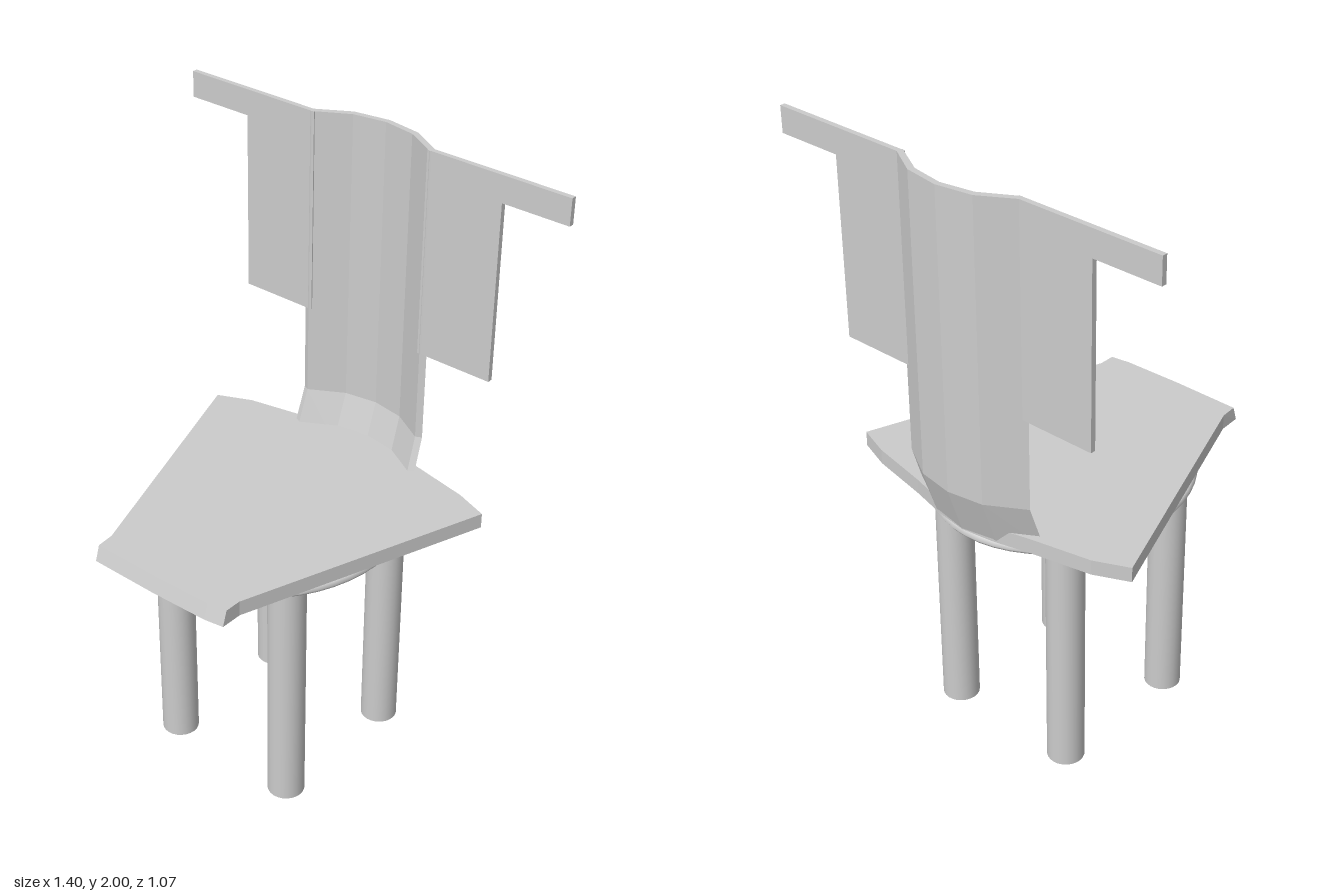
import * as THREE from 'three';

const grey = new THREE.MeshStandardMaterial({ color: 0xcccccc });

function add(group, name, geometry, x = 0, y = 0, z = 0) {
  const mesh = new THREE.Mesh(geometry, grey);
  mesh.name = name;
  mesh.position.set(x, y, z);
  group.add(mesh);
  return mesh;
}

// Extrudes a plan outline given as [x, z] upwards from y = 0
function extrudePlan(points, height, steps = 1) {
  const shape = new THREE.Shape(points.map(([x, z]) => new THREE.Vector2(x, -z)));
  return new THREE.ExtrudeGeometry(shape, { depth: height, steps, bevelEnabled: false }).rotateX(-Math.PI / 2);
}

// Moves every vertex by a rule, then refreshes the flat normals
function reshape(geometry, rule) {
  const pos = geometry.attributes.position;
  const v = new THREE.Vector3();
  for (let i = 0; i < pos.count; i++) {
    rule(v.fromBufferAttribute(pos, i));
    pos.setXYZ(i, v.x, v.y, v.z);
  }
  geometry.computeVertexNormals();
  return geometry;
}

export function createModel() {
  const chair = new THREE.Group();
  chair.name = 'chair';

  // Wedge-shaped seat, its front face sloping out towards the bottom
  const seat = extrudePlan([
    [-0.54, -0.35], [-0.43, -0.4], [-0.23, -0.44], [-0.11, -0.47], [0, -0.485], [0.11, -0.47],
    [0.23, -0.44], [0.43, -0.4], [0.54, -0.36], [0.265, 0.45], [0.265, 0.505], [0.2, 0.515],
    [0, 0.52], [-0.235, 0.518], [-0.24, 0.46],
  ], 0.05);
  reshape(seat, (v) => {
    if (v.z > 0.48 && v.y < 0.01) v.z += 0.016;
  });
  add(chair, 'seat', seat, 0, 0.87, 0);

  // Flattened ring under the seat
  const ring = new THREE.TorusGeometry(0.253, 0.143, 20, 48).rotateX(Math.PI / 2).scale(1, 0.25, 1.12);
  add(chair, 'seatRing', ring, 0, 0.846, -0.035);

  // Four round legs
  const leg = new THREE.CylinderGeometry(0.06, 0.06, 0.85, 24);
  for (const side of [-1, 1]) {
    add(chair, 'frontLeg', leg, side * 0.232, 0.425, 0.198);
    add(chair, 'backLeg', leg, side * 0.232, 0.425, -0.288);
  }

  // Curved back panel whose foot bends forward to meet the seat
  const half = [[0.11, -0.5], [0.22, -0.437]];
  const outer = [[0.24, -0.447], [0.12, -0.518]];
  const mirror = (list) => list.map(([x, z]) => [-x, z]).reverse();
  const panel = extrudePlan(
    [[0, -0.518], ...half, ...outer, [0, -0.537], ...mirror(outer), ...mirror(half)], 2, 2);
  reshape(panel, (v) => {
    if (v.y < 0.5) {
      v.set(v.x * 1.02, 0.87, v.z + 0.053);
    } else {
      v.y = v.y < 1.5 ? 1.03 : 2;
    }
  });
  add(chair, 'backPanel', panel);

  // Thin side wings, each with a longer strip along the top
  for (const side of [-1, 1]) {
    const outline = [[0.21, 1.33], [0.475, 1.33], [0.475, 1.915], [0.7, 1.915], [0.7, 2], [0.21, 2]];
    const shape = new THREE.Shape(outline.map(([x, y]) => new THREE.Vector2(side * x, y)));
    const wing = new THREE.ExtrudeGeometry(shape, { depth: 0.017, bevelEnabled: false });
    add(chair, 'backWing', wing, 0, 0, -0.456);
  }

  return chair;
}
